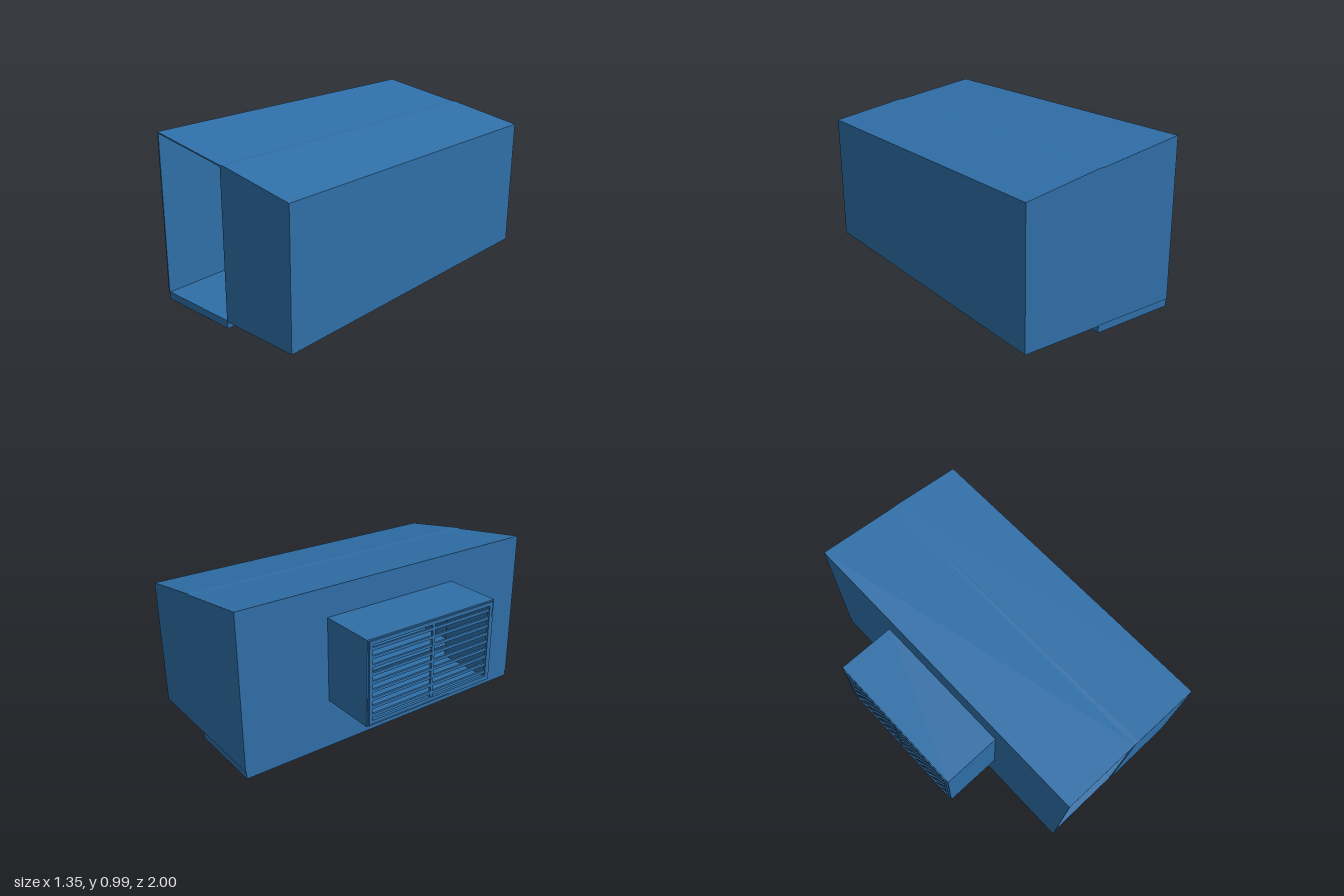
import * as THREE from 'three';

export function createModel() {
  const model = new THREE.Group();
  const blue = new THREE.MeshStandardMaterial({ color: 0x2f6fa8 });
  const T = 0.008; // sheet thickness

  function group(name) {
    const g = new THREE.Group();
    g.name = name;
    model.add(g);
    return g;
  }

  // Box given by its minimum and maximum on each axis
  function box(parent, name, x0, x1, y0, y1, z0, z1) {
    const mesh = new THREE.Mesh(new THREE.BoxGeometry(x1 - x0, y1 - y0, z1 - z0), blue);
    mesh.position.set((x0 + x1) / 2, (y0 + y1) / 2, (z0 + z1) / 2);
    mesh.name = name;
    parent.add(mesh);
  }

  // Profile in x and y, carried from z0 to z1
  function prism(parent, name, points, z0, z1) {
    const shape = new THREE.Shape(points.map(([x, y]) => new THREE.Vector2(x, y)));
    const geometry = new THREE.ExtrudeGeometry(shape, { depth: z1 - z0, bevelEnabled: false });
    const mesh = new THREE.Mesh(geometry, blue);
    mesh.position.z = z0;
    mesh.name = name;
    parent.add(mesh);
  }

  // Sloping sheet running the whole length
  function roof(parent, name, points) {
    const under = points.map(([x, y]) => [x, y - T]).reverse();
    prism(parent, name, [...points, ...under], -1, 1);
  }

  const xL = -0.32, xM = 0.19, xR = 0.675;
  const floorY = 0.045;
  const bay = { y0: 0.30, y1: 0.81, z: 0.45 };

  // Main room, open at the front
  const room = group('mainRoom');
  roof(room, 'mainRoof', [[xL, 0.985], [xM, 0.906]]);
  prism(room, 'mainBackWall', [[xL, floorY], [xM, floorY], [xM, 0.9], [xL, 0.979]], -1, -1 + T);
  box(room, 'mainFloor', xL, xM, floorY - T, floorY, -0.995, 0.995);

  // Side wall with the opening for the louvred bay
  const wall = new THREE.Shape();
  wall.moveTo(-1, floorY).lineTo(1, floorY).lineTo(1, 0.98).lineTo(-1, 0.98).closePath();
  const hole = new THREE.Path();
  hole.moveTo(-bay.z, bay.y0).lineTo(-bay.z, bay.y1).lineTo(bay.z, bay.y1).lineTo(bay.z, bay.y0).closePath();
  wall.holes.push(hole);
  const wallMesh = new THREE.Mesh(new THREE.ExtrudeGeometry(wall, { depth: T, bevelEnabled: false }), blue);
  wallMesh.rotation.y = -Math.PI / 2;
  wallMesh.position.x = xL + T;
  wallMesh.name = 'sideWall';
  room.add(wallMesh);

  // Side extension, open towards the main room
  const extension = group('sideExtension');
  const side = [[xM, 0.042], [xR, 0.042], [xR, 0.822], [0.22, 0.902], [xM, 0.902]];
  prism(extension, 'extensionFrontWall', side, 1 - T, 1);
  prism(extension, 'extensionBackWall', side, -1, -1 + T);
  box(extension, 'extensionOuterWall', xR - T, xR, 0.042, 0.822, -1, 1);
  box(extension, 'extensionFloor', xM, xR, 0.042, 0.05, -1, 1);
  roof(extension, 'extensionRoof', [[xM, 0.906], [0.22, 0.906], [xR, 0.826]]);

  // Floor chassis: deep rails and bearers, shallow joists
  const chassis = group('floorChassis');
  const deckY = floorY - T;
  box(chassis, 'chassisRail', xL, xL + 0.02, 0, deckY, -0.995, 0.995);
  box(chassis, 'chassisRail', xM - 0.02, xM, 0, deckY, -0.995, 0.995);
  for (const z of [-0.985, -0.43, 0.43, 0.985]) {
    box(chassis, 'chassisBearer', xL + 0.02, xM - 0.02, 0, deckY, z - 0.01, z + 0.01);
  }
  for (const z of [-0.8, -0.615, -0.215, 0, 0.215, 0.615, 0.8]) {
    box(chassis, 'floorJoist', xL + 0.02, xM - 0.02, 0.012, deckY, z - 0.006, z + 0.006);
  }
  const mid = (xL + xM) / 2;
  box(chassis, 'centreJoist', mid - 0.006, mid + 0.006, 0.012, deckY, -0.975, 0.975);

  // Bay standing out from the side wall
  const bayBox = group('louvredBay');
  const xO = -0.672;
  box(bayBox, 'bayRoof', xO, xL + T, bay.y1 - T, bay.y1, -bay.z, bay.z);
  box(bayBox, 'bayFloor', xO, xL + T, bay.y0, bay.y0 + T, -bay.z, bay.z);
  for (const s of [-1, 1]) {
    const z = s * (bay.z - T / 2);
    box(bayBox, 'baySide', xO, xL + T, bay.y0 + T, bay.y1 - T, z - T / 2, z + T / 2);
  }

  // Frame with a centre post; x0 to x1 is its depth, w its width
  function frame(parent, name, x0, x1, y0, y1, z, w) {
    box(parent, name, x0, x1, y0, y0 + w, -z, z);
    box(parent, name, x0, x1, y1 - w, y1, -z, z);
    for (const s of [-1, 1]) {
      const c = s * (z - w / 2);
      box(parent, name, x0, x1, y0 + w, y1 - w, c - w / 2, c + w / 2);
    }
  }

  // Louvre screen on the outer face
  const screen = group('louvreScreen');
  frame(screen, 'screenFrame', -0.677, -0.66, 0.31, 0.80, 0.438, 0.022);
  box(screen, 'centrePost', -0.674, -0.66, 0.33, 0.78, -0.009, 0.009);
  for (let i = 1; i < 10; i++) {
    const y = 0.31 + i * 0.049;
    box(screen, 'louvreSlat', -0.673, -0.661, y - 0.009, y + 0.009, -0.417, 0.417);
  }

  // Trim round the bay opening, inside the room
  const trim = group('openingTrim');
  frame(trim, 'openingTrim', xL + T, xL + 0.016, 0.285, 0.82, 0.465, 0.025);

  return model;
}
